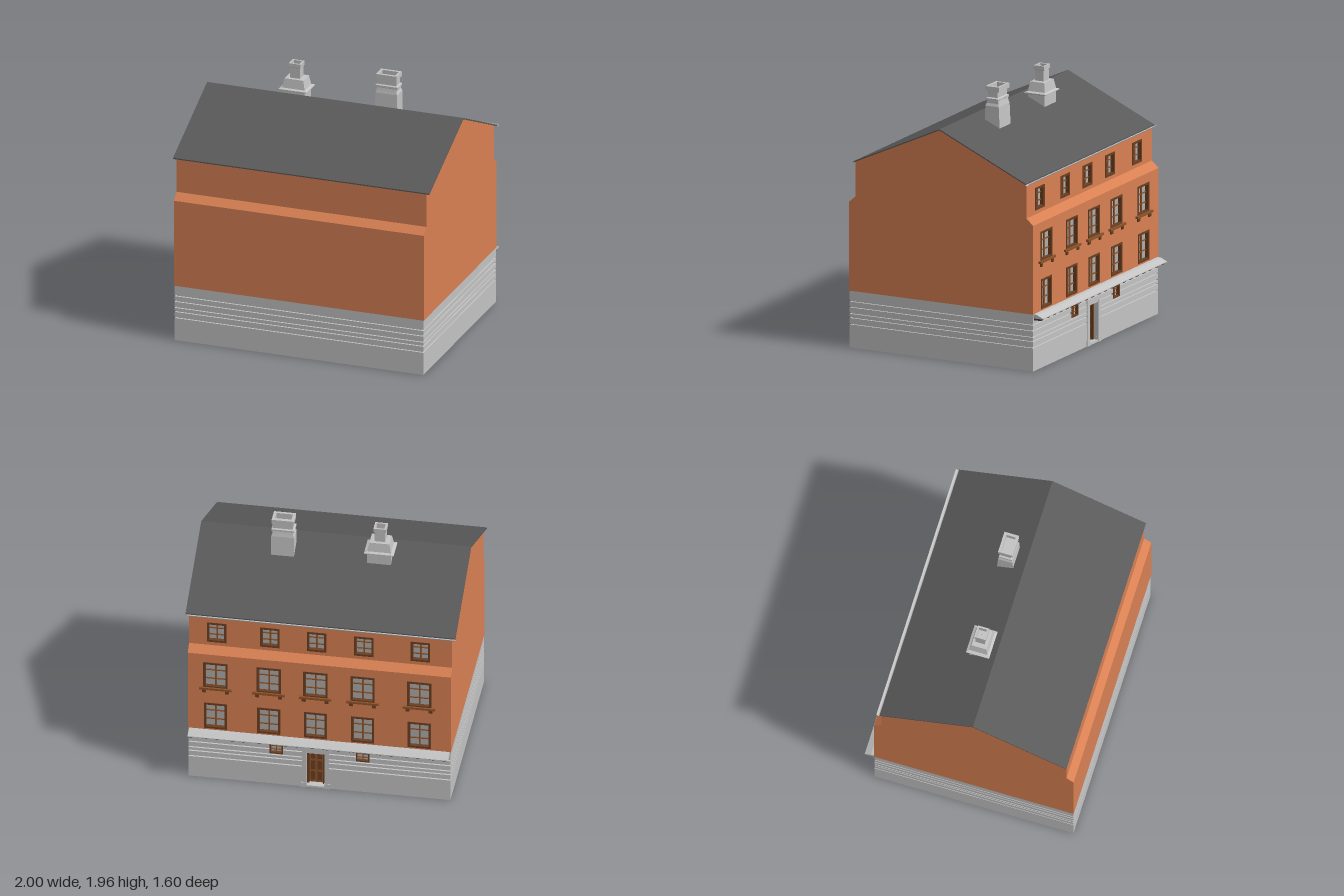
import * as THREE from 'three';

const mat = (name, color, double) => {
  const m = new THREE.MeshStandardMaterial({ color });
  m.name = name;
  if (double) m.side = THREE.DoubleSide;
  return m;
};

export function createModel() {
  const plaster = mat('orange plaster', 0xd88053, true);
  const stone = mat('grey stone', 0xc3c3c3, true);
  const slate = mat('dark slate', 0x5a5a5a, true);
  const darkWood = mat('dark wood', 0x6b3f22);
  const wood = mat('brown wood', 0x8f5429);
  const glass = mat('window glass', 0xadadad, true);
  const bracketWood = mat('bracket wood', 0x4f3c32);

  const model = new THREE.Group();
  model.name = 'townHouse';
  const house = new THREE.Group(); // symmetric about its ridge
  house.name = 'house';
  house.position.z = 0.0375;
  model.add(house);

  const add = (parent, name, geo, material) => {
    const m = new THREE.Mesh(geo, material);
    m.name = name;
    parent.add(m);
    return m;
  };
  const box = (parent, name, material, x0, x1, y0, y1, z0, z1) => {
    const m = add(parent, name, new THREE.BoxGeometry(x1 - x0, y1 - y0, z1 - z0), material);
    m.position.set((x0 + x1) / 2, (y0 + y1) / 2, (z0 + z1) / 2);
    return m;
  };
  const flat = (pos) => {
    const g = new THREE.BufferGeometry();
    g.setAttribute('position', new THREE.Float32BufferAttribute(pos, 3));
    g.computeVertexNormals();
    return g;
  };
  // Wall strip: profile of [inset, y] swept from x0 to x1; m0, m1 mitre the ends
  const strip = (profile, d, x0, x1, m0 = 0, m1 = 0) => {
    const pos = [];
    for (let i = 0; i < profile.length - 1; i++) {
      const [a, ya] = profile[i], [b, yb] = profile[i + 1];
      const A = [x0 + m0 * a, ya, d - a], B = [x1 - m1 * a, ya, d - a];
      const C = [x1 - m1 * b, yb, d - b], D = [x0 + m0 * b, yb, d - b];
      pos.push(...A, ...B, ...C, ...A, ...C, ...D);
    }
    return flat(pos);
  };
  // Outline of [outward, y] extruded along x
  const prism = (points, len) => new THREE.ExtrudeGeometry(
    new THREE.Shape(points.map(p => new THREE.Vector2(...p))), { depth: len, bevelEnabled: false })
    .translate(0, 0, -len / 2).rotateY(-Math.PI / 2);
  const rect = (T, x0, x1, y0, y1) => {
    const s = new T();
    s.moveTo(x0, y0).lineTo(x1, y0).lineTo(x1, y1).lineTo(x0, y1).closePath();
    return s;
  };

  const W = 0.975, LOW = 0.7625, UP = 0.7075, PX = 0.97, PZ = 0.7595;

  // Back facade: outward is local +z, local x is mirrored
  const back = new THREE.Group();
  back.name = 'backFacade';
  back.rotation.y = Math.PI;
  house.add(back);

  // Plinth profile with horizontal grooves
  const plinth = [[0, 0]];
  for (const y of [0.18, 0.228, 0.26, 0.308, 0.352])
    plinth.push([0, y - 0.005], [0.012, y - 0.004], [0.012, y + 0.004], [0, y + 0.005]);
  plinth.push([0, 0.43]);
  add(house, 'plinthFront', strip(plinth, PZ, -PX, PX, 1, 1), stone);
  for (const s of [-1, 1])
    add(house, 'plinthSide', strip(plinth, PX, -PZ, PZ, 1, 1), stone).rotation.y = s * Math.PI / 2;

  const clip = (y0, y1) => {
    const at = y => {
      const i = Math.max(1, plinth.findIndex(p => p[1] >= y));
      const [a, ya] = plinth[i - 1], [b, yb] = plinth[i];
      return [a + (b - a) * (y - ya) / (yb - ya), y];
    };
    return [at(y0), ...plinth.filter(p => p[1] > y0 && p[1] < y1), at(y1)];
  };
  // Openings in the back plinth: [x0, x1, y0, y1]
  const doorX = -0.03;
  const openings = [[-0.37, -0.27, 0.27, 0.36], [doorX - 0.07, doorX + 0.07, 0, 0.31], [0.27, 0.37, 0.27, 0.36]];
  let x = -PX;
  openings.forEach(([x0, x1, y0, y1], i) => {
    add(back, 'plinthBack', strip(plinth, PZ, x, x0, i === 0 ? 1 : 0, 0), stone);
    if (y0 > 0) add(back, 'plinthBack', strip(clip(0, y0), PZ, x0, x1), stone);
    add(back, 'plinthBack', strip(clip(y1, 0.43), PZ, x0, x1), stone);
    x = x1;
  });
  add(back, 'plinthBack', strip(plinth, PZ, x, PX, 0, 1), stone);

  // Plain front wall with sloped setback, and gable ends
  const setback = LOW - UP;
  add(house, 'frontWall', strip([[0, 0.43], [0, 1.1], [setback, 1.15], [setback, 1.415]], LOW, -W, W), plaster);
  const gable = [[-LOW, 0.43], [LOW, 0.43], [LOW, 1.1], [UP, 1.15], [UP, 1.415], [0, 1.737],
    [-UP, 1.415], [-UP, 1.15], [-LOW, 1.1]].map(p => new THREE.Vector2(...p));
  for (const s of [-1, 1]) {
    const g = add(house, 'gableWall', new THREE.ShapeGeometry(new THREE.Shape(gable)), plaster);
    g.rotation.y = s * Math.PI / 2;
    g.position.x = s * W;
  }

  // Recessed window with frame, glass and glazing bars
  const makeWindow = (x0, x1, y0, y1, d, t = 0.016, depth = 0.035) => {
    const g = new THREE.Group();
    g.name = 'window';
    back.add(g);
    const ring = rect(THREE.Shape, x0, x1, y0, y1);
    ring.holes.push(rect(THREE.Path, x0 + t, x1 - t, y0 + t, y1 - t));
    add(g, 'windowFrame', new THREE.ExtrudeGeometry(ring, { depth: depth + 0.004, bevelEnabled: false }), darkWood)
      .position.z = d - depth;
    const z = d - depth + 0.01;
    add(g, 'windowGlass', new THREE.ShapeGeometry(rect(THREE.Shape, x0, x1, y0, y1)), glass).position.z = z;
    const cx = (x0 + x1) / 2, b = t * 0.25;
    box(g, 'glazingBar', wood, cx - b * 1.4, cx + b * 1.4, y0 + t, y1 - t, z, z + 0.01);
    for (const k of [1 / 3, 2 / 3]) {
      const y = y0 + (y1 - y0) * k;
      box(g, 'glazingBar', wood, x0 + t, x1 - t, y - b, y + b, z, z + 0.008);
    }
  };

  // Back walls with five columns of windows
  const columns = [-0.77, -0.375, -0.03, 0.32, 0.74];
  const backWall = (name, y0, y1, d, rows) => {
    const wall = rect(THREE.Shape, -W, W, y0, y1);
    for (const [w, b, t] of rows) for (const c of columns) {
      wall.holes.push(rect(THREE.Path, c - w + 0.004, c + w - 0.004, b + 0.004, t - 0.004));
      makeWindow(c - w, c + w, b, t, d);
    }
    add(back, name, new THREE.ShapeGeometry(wall), plaster).position.z = d;
  };
  backWall('backWallLower', 0.43, 1.1, LOW, [[0.085, 0.445, 0.67], [0.09, 0.805, 1.03]]);
  backWall('backWallUpper', 1.15, 1.415, UP, [[0.072, 1.18, 1.35]]);
  add(back, 'backSetback', strip([[0, 1.1], [setback, 1.15]], LOW, -W, W), plaster);
  for (const c of columns) {
    box(back, 'windowSill', wood, c - 0.12, c + 0.12, 0.795, 0.812, LOW - 0.01, LOW + 0.018);
    for (const s of [-0.085, 0.085])
      box(back, 'sillBracket', darkWood, c + s - 0.014, c + s + 0.014, 0.768, 0.795, LOW - 0.005, LOW + 0.012);
  }
  for (const i of [0, 2]) makeWindow(...openings[i], PZ, 0.01, 0.03);

  // Ledge above the ground floor with brackets
  add(back, 'ledge', prism([[0.755, 0.4], [0.8375, 0.4], [0.8375, 0.406], [0.79, 0.428], [0.755, 0.433]], 1.93), stone);
  for (let i = 0; i < 20; i++) {
    const c = -0.94 + i * 1.88 / 19;
    box(back, 'ledgeBracket', bracketWood, c - 0.018, c + 0.018, 0.385, 0.4, PZ - 0.01, 0.82);
  }

  // Entrance: recessed panelled door in a stone surround
  const door = new THREE.Group();
  door.name = 'entrance';
  door.position.x = doorX;
  back.add(door);
  const zd = PZ - 0.05;
  box(door, 'doorLeaf', wood, -0.058, 0.058, 0.015, 0.3, zd - 0.01, zd);
  for (const s of [-1, 1]) {
    const side = (name, m, a, b, ...r) => box(door, name, m, Math.min(s * a, s * b), Math.max(s * a, s * b), ...r);
    side('doorFrame', darkWood, 0.05, 0.066, 0, 0.3, zd - 0.01, zd + 0.018);
    side('doorReveal', stone, 0.066, 0.076, 0, 0.32, zd - 0.01, PZ);
    side('pilaster', stone, 0.068, 0.1, 0, 0.325, PZ - 0.01, PZ + 0.005);
    side('pilasterBase', stone, 0.064, 0.108, 0, 0.04, PZ - 0.01, PZ + 0.009);
    for (const [a, b] of [[0.035, 0.11], [0.13, 0.205], [0.225, 0.275]])
      side('doorPanel', darkWood, 0.009, 0.042, a, b, zd, zd + 0.004);
  }
  box(door, 'doorFrameTop', darkWood, -0.066, 0.066, 0.285, 0.3, zd - 0.01, zd + 0.018);
  box(door, 'doorHead', stone, -0.076, 0.076, 0.3, 0.32, zd - 0.01, PZ);
  box(door, 'lintel', stone, -0.11, 0.11, 0.322, 0.352, PZ - 0.01, PZ + 0.009);
  box(door, 'threshold', stone, -0.076, 0.076, 0, 0.015, zd - 0.01, PZ + 0.004);

  // Roof and rear gutter
  add(house, 'roof', prism([[-0.714, 1.408], [0, 1.735], [0.714, 1.408], [0.714, 1.417], [0, 1.744], [-0.714, 1.417]], 2), slate);
  const gutter = new THREE.CylinderGeometry(0.014, 0.014, 2, 10, 1, true, -Math.PI / 2, Math.PI);
  gutter.rotateZ(Math.PI / 2).rotateX(Math.PI / 2);
  const gut = add(back, 'gutter', gutter, stone);
  gut.position.set(0, 1.417, 0.724);
  gut.rotation.x = gutterTurn(gutter);

  // Chimneys from rectangular cross-sections [halfX, halfZ, y]
  const chimney = (name, cx, cz, rings) => {
    const pos = [], corner = ([a, b, y], k) => [[a, y, b], [a, y, -b], [-a, y, -b], [-a, y, b]][k % 4];
    for (let i = 0; i < rings.length - 1; i++) for (let k = 0; k < 4; k++) {
      const A = corner(rings[i], k), B = corner(rings[i], k + 1);
      const C = corner(rings[i + 1], k + 1), D = corner(rings[i + 1], k);
      pos.push(...A, ...B, ...C, ...A, ...C, ...D);
    }
    add(model, name, flat(pos), stone).position.set(cx, 0, cz);
  };
  chimney('tallChimney', 0.365, -0.105, [[0.085, 0.064, 1.63], [0.085, 0.055, 1.81], [0.077, 0.05, 1.83],
    [0.077, 0.046, 1.85], [0.085, 0.05, 1.853], [0.085, 0.05, 1.868], [0.073, 0.04, 1.875], [0.073, 0.04, 1.918],
    [0.082, 0.056, 1.922], [0.082, 0.056, 1.957], [0.062, 0.036, 1.957], [0.062, 0.036, 1.91], [0.001, 0.001, 1.91]]);
  chimney('shortChimney', -0.35, -0.092, [[0.088, 0.07, 1.63], [0.088, 0.07, 1.735], [0.11, 0.088, 1.744],
    [0.11, 0.088, 1.75], [0.088, 0.07, 1.758], [0.074, 0.058, 1.828], [0.04, 0.036, 1.83], [0.04, 0.036, 1.91],
    [0.047, 0.043, 1.915], [0.047, 0.043, 1.945], [0.033, 0.03, 1.945], [0.033, 0.03, 1.9], [0.001, 0.001, 1.9]]);

  return model;
}

// Turns the half-round gutter so that its open side is up
function gutterTurn(geometry) {
  geometry.computeBoundingBox();
  const { min, max } = geometry.boundingBox;
  if (max.y - min.y > 0.02) return max.z > 0.007 ? Math.PI / 2 : -Math.PI / 2;
  return max.y > 0.007 ? Math.PI : 0;
}
